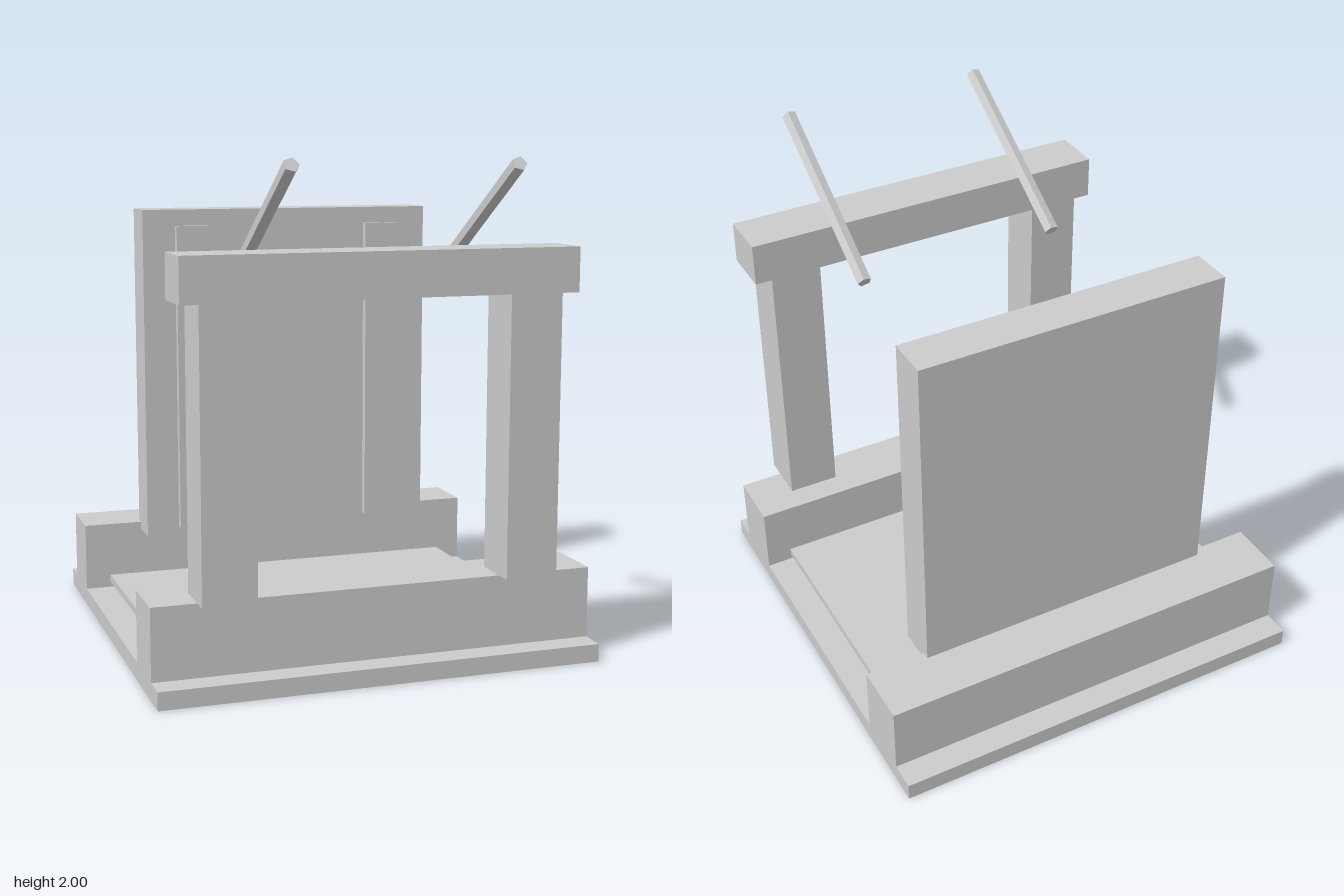
import * as THREE from 'three';

const material = new THREE.MeshStandardMaterial({ color: 0xcccccc, flatShading: true });

export function createModel() {
  const model = new THREE.Group();
  model.name = 'gateShrine';

  // Box given by its extents along each axis
  function block(name, [x0, x1], [y0, y1], [z0, z1]) {
    const mesh = new THREE.Mesh(new THREE.BoxGeometry(x1 - x0, y1 - y0, z1 - z0), material);
    mesh.position.set((x0 + x1) / 2, (y0 + y1) / 2, (z0 + z1) / 2);
    mesh.name = name;
    model.add(mesh);
  }

  // Base plate, the two sills on it and the floor panel between them
  block('basePlate', [-0.896, 0.896], [0, 0.072], [-0.987, 0.806]);
  block('frontSill', [-0.896, 0.896], [0.072, 0.36], [0.45, 0.699]);
  block('backSill', [-0.896, 0.896], [0.072, 0.36], [-0.876, -0.627]);
  block('floorPanel', [-0.788, 0.788], [0.095, 0.127], [-0.627, 0.45]);

  // Front gate lintel and back wall
  block('lintel', [-0.788, 0.788], [1.476, 1.652], [0.558, 0.772]);
  block('backWall', [-0.645, 0.645], [0.328, 1.758], [-0.662, -0.484]);

  // Sloping five-sided rods, each with one edge towards +x
  const high = new THREE.Vector3(0, 1.971, 0.971);
  const low = new THREE.Vector3(0, 1.542, 0.267);
  const rodGeometry = new THREE.CylinderGeometry(0.03, 0.03, high.distanceTo(low), 5, 1, false, Math.PI / 2);

  for (const [side, s] of [['left', 1], ['right', -1]]) {
    const span = (a, b) => (s > 0 ? [a, b] : [-b, -a]);
    block(side + 'Post', span(0.504, 0.717), [0.36, 1.476], [0.558, 0.772]);
    block(side + 'WallStrip', span(0.358, 0.504), [0.362, 1.688], [-0.484, -0.45]);

    const rod = new THREE.Mesh(rodGeometry, material);
    rod.position.copy(high).add(low).multiplyScalar(0.5);
    rod.position.x = s * 0.432;
    rod.rotation.x = Math.atan2(high.z - low.z, high.y - low.y);
    rod.name = side + 'Rod';
    model.add(rod);
  }

  return model;
}
